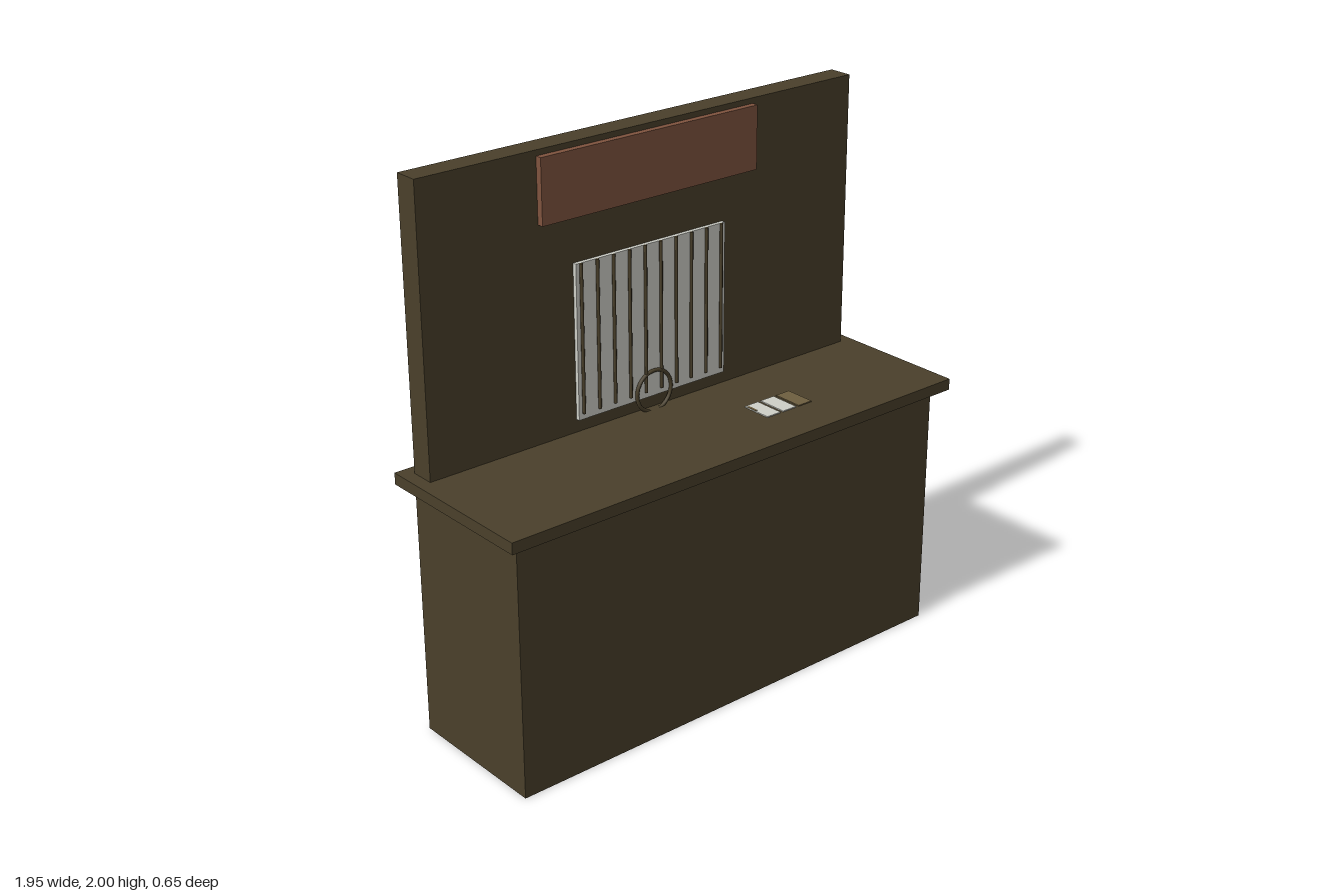
import * as THREE from 'three';

const paint = (name, color) => {
  const m = new THREE.MeshStandardMaterial({ color });
  m.name = name;
  return m;
};

export function createModel() {
  const group = new THREE.Group();
  group.name = 'ticketCounter';
  const wood = paint('dark wood', 0x4a402b);
  const red = paint('rust red', 0x80543f);
  const pale = paint('pale grey', 0xcfd0c8);
  const tan = paint('tan', 0x6e5f40);

  const add = (name, geometry, material, x, y, z) => {
    const mesh = new THREE.Mesh(geometry, material);
    mesh.name = name;
    mesh.position.set(x, y, z);
    group.add(mesh);
    return mesh;
  };
  // Box given by its lower and upper corners
  const box = (name, material, [x0, y0, z0], [x1, y1, z1]) =>
    add(name, new THREE.BoxGeometry(x1 - x0, y1 - y0, z1 - z0), material,
      (x0 + x1) / 2, (y0 + y1) / 2, (z0 + z1) / 2);

  // Counter and back wall
  box('counterBase', wood, [-0.925, 0, -0.277], [0.925, 0.935, 0.277]);
  box('counterTop', wood, [-0.973, 0.935, -0.323], [0.973, 0.977, 0.323]);
  box('backWall', wood, [-0.925, 0.977, -0.277], [0.925, 2, -0.187]);
  box('signBoard', red, [-0.463, 1.75, -0.187], [0.463, 1.98, -0.163]);

  // Window pane showing on both sides of the wall
  box('windowPane', pale, [-0.326, 1.025, -0.286], [0.326, 1.587, -0.172]);

  // Window bars
  const barGeometry = new THREE.CylinderGeometry(0.006, 0.006, 0.54, 8);
  for (let i = 0; i < 10; i++) {
    add('windowBar', barGeometry, wood, -0.307 + i * 0.0682, 1.317, -0.168);
  }

  // Speaking ring at the foot of the window
  add('speakingRing', new THREE.TorusGeometry(0.076, 0.007, 8, 32), wood, 0, 1.045, -0.168);

  // Tickets on the counter
  [pale, pale, tan].forEach((material, i) => {
    const x = 0.246 + i * 0.074;
    box('ticket', material, [x, 0.977, 0.031], [x + 0.061, 0.981, 0.147]);
  });
  box('ticketStub', tan, [0.247, 0.981, 0.04], [0.257, 0.982, 0.085]);

  return group;
}
